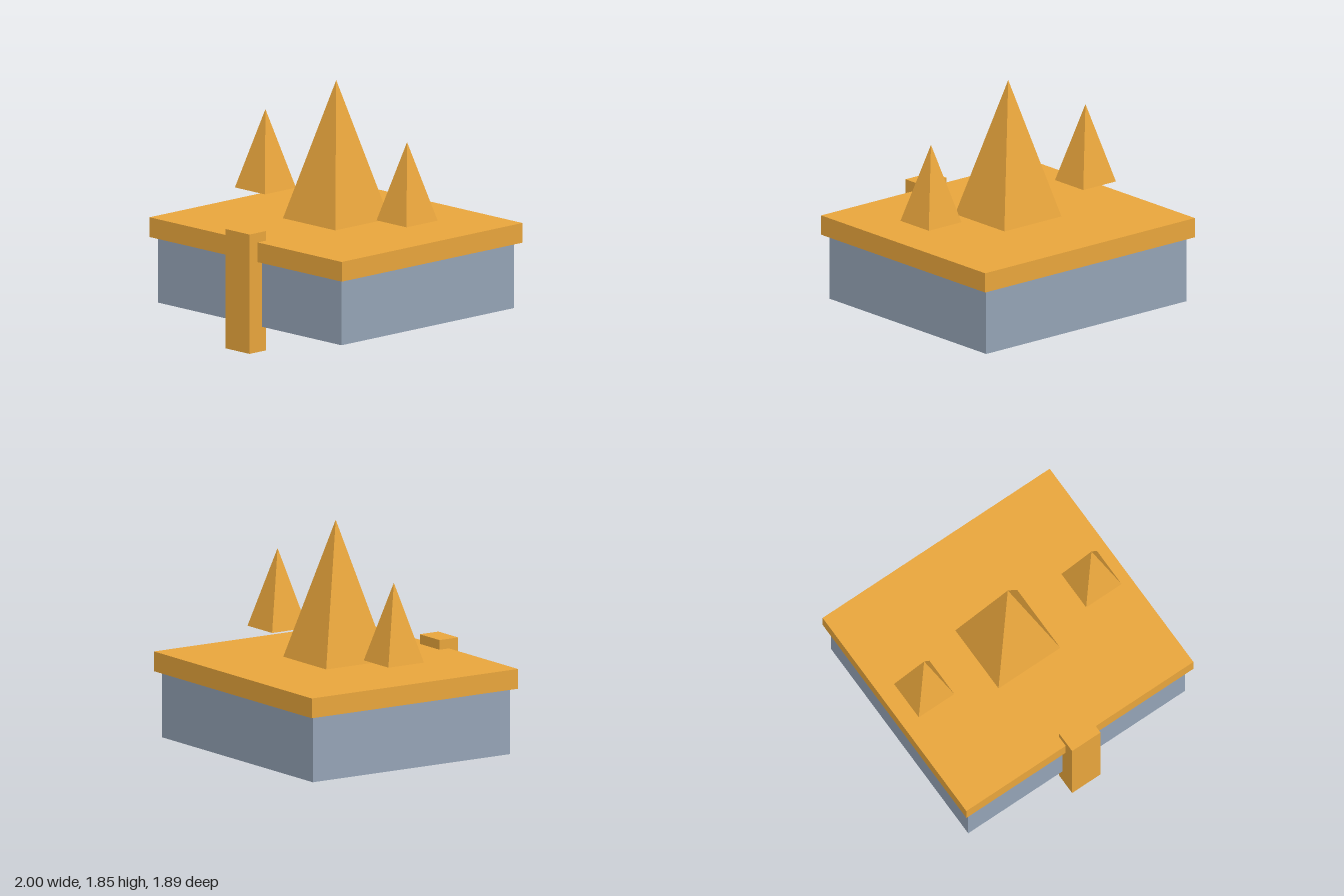
import * as THREE from 'three';

export function createModel() {
  const group = new THREE.Group();
  const gold = new THREE.MeshStandardMaterial({ color: 0xe8a53c, flatShading: true });
  const slate = new THREE.MeshStandardMaterial({ color: 0x94a3b5, flatShading: true });

  const add = (name, geometry, material) => {
    const mesh = new THREE.Mesh(geometry, material);
    mesh.name = name;
    group.add(mesh);
  };

  // Box given by its lower and upper corners
  const box = (name, material, [x0, y0, z0], [x1, y1, z1]) => {
    const geometry = new THREE.BoxGeometry(x1 - x0, y1 - y0, z1 - z0);
    geometry.translate((x0 + x1) / 2, (y0 + y1) / 2, (z0 + z1) / 2);
    add(name, geometry, material);
  };

  // Square pyramid with sides along x and z
  const spike = (name, x, half, y0, y1) => {
    const geometry = new THREE.ConeGeometry(half * Math.SQRT2, y1 - y0, 4);
    geometry.rotateY(Math.PI / 4);
    geometry.translate(x, (y0 + y1) / 2, -0.043);
    add(name, geometry, gold);
  };

  // Body, overhanging top slab and front post
  box('body', slate, [-0.955, 0.182, -0.905], [0.955, 0.667, 0.824]);
  box('topSlab', gold, [-1, 0.667, -0.946], [1, 0.813, 0.865]);
  box('frontPost', gold, [-0.125, 0, 0.782], [0.125, 0.884, 0.946]);

  // Large centre spike and two smaller floating side spikes
  spike('centreSpike', 0, 0.272, 0.825, 1.85);
  spike('leftSpike', 0.737, 0.156, 0.932, 1.513);
  spike('rightSpike', -0.737, 0.156, 0.932, 1.513);

  return group;
}
